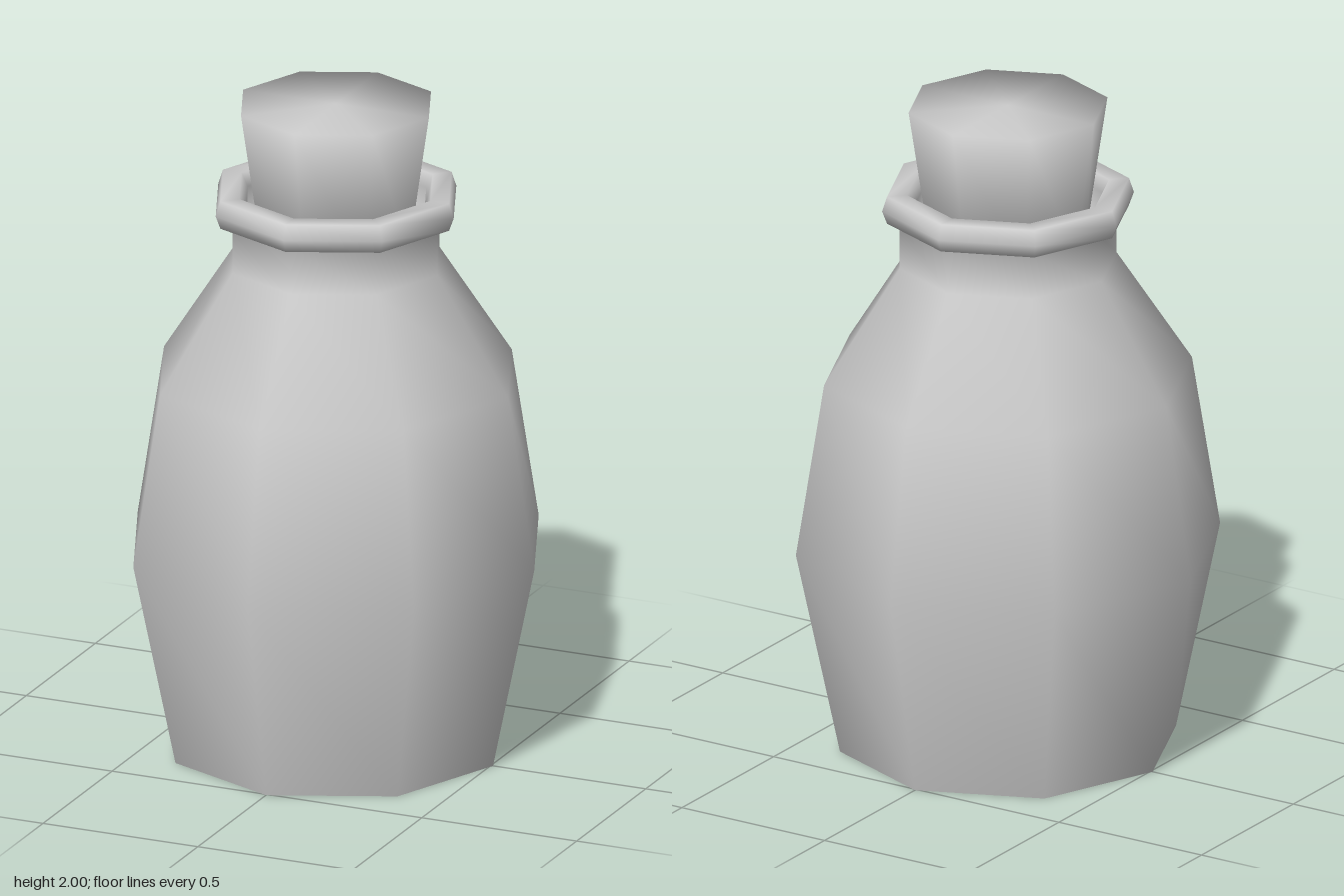
import * as THREE from 'three';

const SIDES = 8;

// Eight-sided smooth turned part; profile points are [radius, height], listed bottom to top on the outside
function turned(name, profile) {
  const points = profile.map(([r, y]) => new THREE.Vector2(r, y));
  const material = new THREE.MeshStandardMaterial({ color: 0xcccccc });
  const mesh = new THREE.Mesh(new THREE.LatheGeometry(points, SIDES), material);
  mesh.name = name;
  return mesh;
}

export function createModel() {
  const bottle = new THREE.Group();
  bottle.name = 'corkedBottle';

  // Base: flat floor set up inside the hollow foot
  bottle.add(turned('base', [[0, 0.3], [0.53, 0.3]]));

  // Body: inner foot wall, foot rim, belly, shoulder, neck, lip ring and mouth in one skin
  bottle.add(turned('body', [
    [0.53, 0.3], [0.47, 0.01], [0.485, 0], [0.507, 0],
    [0.64, 0.63], [0.555, 1.16], [0.327, 1.51], [0.327, 1.65],
    [0.365, 1.655], [0.38, 1.695], [0.365, 1.74],
    [0.305, 1.74], [0.285, 1.7], [0.28, 1.56], [0, 1.56],
  ]));

  // Cork: tapered stopper
  bottle.add(turned('cork', [
    [0, 1.57], [0.235, 1.57], [0.3, 2], [0, 2],
  ]));

  return bottle;
}
